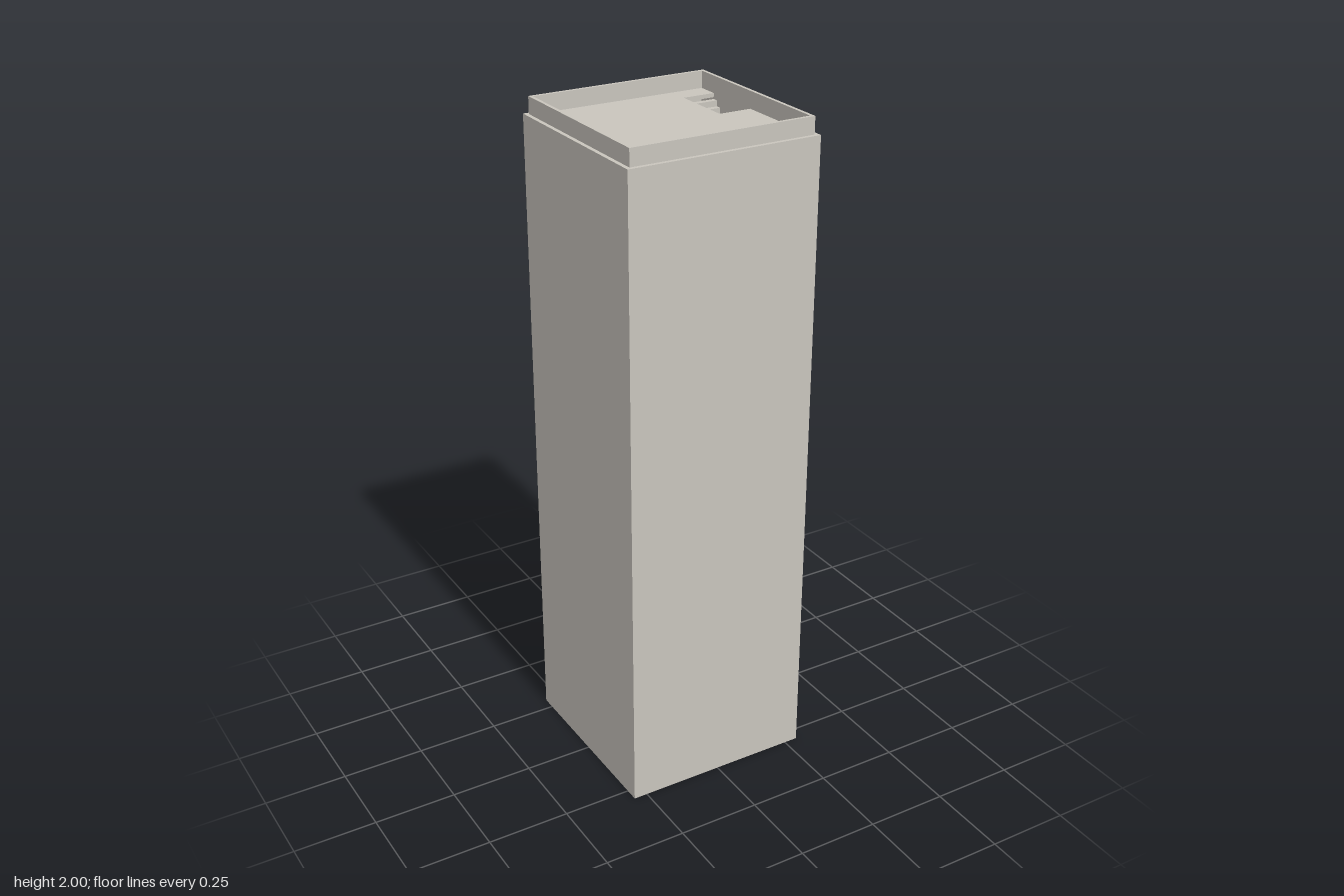
import * as THREE from 'three';

const OUTER = 0.292, RIM = 0.28, INNER = 0.27;
const ROOF_Y = 1.95, TOP_Y = 2, SLAB = 0.012;
// Stair opening in the roof
const HOLE = { x0: 0.17, x1: INNER, z0: -0.205, z1: -0.015 };

function rect(target, x0, x1, z0, z1) {
  // shape y maps to -z once the extrusion is laid flat
  target.moveTo(x0, -z1);
  target.lineTo(x1, -z1);
  target.lineTo(x1, -z0);
  target.lineTo(x0, -z0);
  target.closePath();
  return target;
}

function flatExtrude(shape, y, height) {
  const geometry = new THREE.ExtrudeGeometry(shape, { depth: height, bevelEnabled: false });
  geometry.rotateX(-Math.PI / 2);
  geometry.translate(0, y, 0);
  return geometry;
}

function squareRing(outer, inner, y, height) {
  const shape = rect(new THREE.Shape(), -outer, outer, -outer, outer);
  shape.holes.push(rect(new THREE.Path(), -inner, inner, -inner, inner));
  return flatExtrude(shape, y, height);
}

export function createModel() {
  const group = new THREE.Group();
  const concrete = new THREE.MeshStandardMaterial({ color: 0xc9c5bd });
  concrete.name = 'warm grey concrete';

  const add = (name, geometry, parent = group) => {
    const mesh = new THREE.Mesh(geometry, concrete);
    mesh.name = name;
    parent.add(mesh);
    return mesh;
  };

  // Hollow tower and the thinner rim set back on top of it
  add('towerWalls', squareRing(OUTER, INNER, 0, ROOF_Y));
  add('parapet', squareRing(RIM, INNER, ROOF_Y, TOP_Y - ROOF_Y));

  // Base closing the shaft
  const base = new THREE.BoxGeometry(INNER * 2, SLAB, INNER * 2);
  add('baseSlab', base).position.y = SLAB / 2;

  // Roof slab notched around the stair opening along the +x wall
  const roof = new THREE.Shape();
  roof.moveTo(-INNER, -INNER);
  roof.lineTo(INNER, -INNER);
  roof.lineTo(INNER, -HOLE.z1);
  roof.lineTo(HOLE.x0, -HOLE.z1);
  roof.lineTo(HOLE.x0, -HOLE.z0);
  roof.lineTo(INNER, -HOLE.z0);
  roof.lineTo(INNER, INNER);
  roof.lineTo(-INNER, INNER);
  roof.closePath();
  add('roofSlab', flatExtrude(roof, ROOF_Y - SLAB, SLAB));

  // Stair descending toward the front, one solid tread per step
  const stair = new THREE.Group();
  stair.name = 'stair';
  group.add(stair);
  const steps = 11;
  const run = (HOLE.z1 - HOLE.z0) / steps;
  const rise = run;
  const width = HOLE.x1 - HOLE.x0;
  for (let i = 0; i < steps; i++) {
    const tread = add('step', new THREE.BoxGeometry(width, rise, run), stair);
    tread.position.set(
      (HOLE.x0 + HOLE.x1) / 2,
      ROOF_Y - (i + 1.5) * rise,
      HOLE.z0 + (i + 0.5) * run
    );
  }

  // Storey floor at the foot of the stair
  const floor = new THREE.BoxGeometry(INNER * 2, SLAB, INNER * 2);
  add('upperFloor', floor).position.y = ROOF_Y - (steps + 1) * rise - SLAB / 2;

  return group;
}
